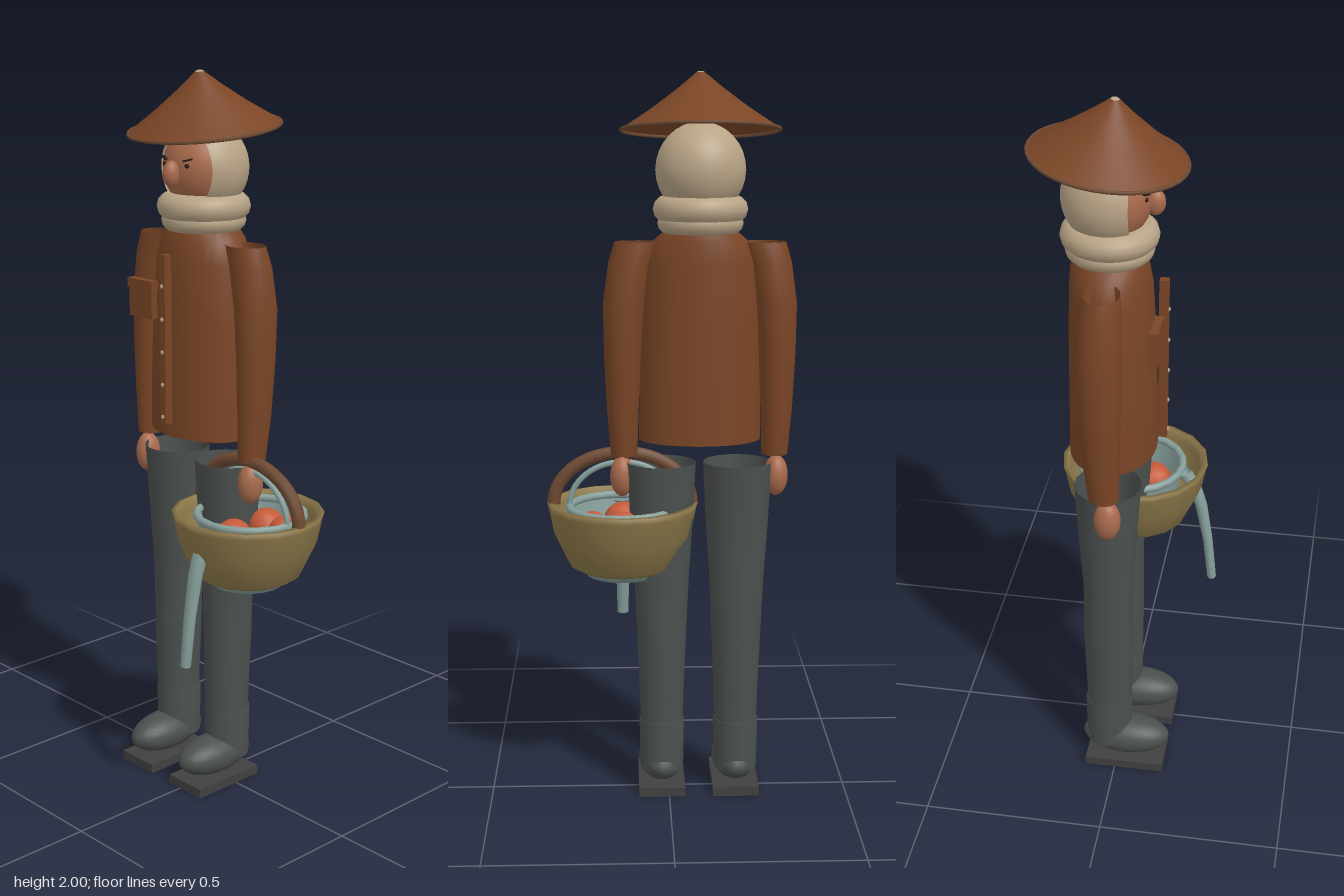
import * as THREE from 'three';

const mat = (name, color, side = THREE.FrontSide) => {
  const m = new THREE.MeshStandardMaterial({ color, side });
  m.name = name;
  return m;
};

// Lofted tube from horizontal elliptical sections [y, cx, cz, rx, rz], open at both ends
function loft(sections, seg = 18) {
  const pos = [], idx = [];
  sections.forEach(([y, cx, cz, rx, rz], i) => {
    for (let j = 0; j < seg; j++) {
      const a = (j / seg) * Math.PI * 2;
      pos.push(cx + Math.cos(a) * rx, y, cz + Math.sin(a) * rz);
      if (i === sections.length - 1) continue;
      const p = i * seg + j, q = i * seg + ((j + 1) % seg);
      idx.push(p, p + seg, q, q, p + seg, q + seg);
    }
  });
  const g = new THREE.BufferGeometry();
  g.setAttribute('position', new THREE.Float32BufferAttribute(pos, 3));
  g.setIndex(idx);
  g.computeVertexNormals();
  return g;
}

const lathe = (pts, seg) => new THREE.LatheGeometry(pts.map(([r, y]) => new THREE.Vector2(r, y)), seg);

// Half-ellipse tube in the x-y plane
function arch(rx, ry, tube) {
  const pts = [];
  for (let i = 0; i <= 16; i++) {
    const a = (i / 16) * Math.PI;
    pts.push(new THREE.Vector3(Math.cos(a) * rx, Math.sin(a) * ry, 0));
  }
  return new THREE.TubeGeometry(new THREE.CatmullRomCurve3(pts), 28, tube, 8);
}

export function createModel() {
  const D = THREE.DoubleSide;
  const brown = mat('jacket brown', 0x7a4526, D);
  const trim = mat('handle brown', 0x6e4a32, D);
  const hair = mat('hair beige', 0xb8a486);
  hair.side = D;
  const skin = mat('skin', 0xa86a4c);
  const charcoal = mat('trouser grey', 0x4b504e, D);
  const soleMat = mat('sole grey', 0x3f403f);
  const wicker = mat('wicker', 0x8c784a, D);
  const blue = mat('enamel blue', 0x869f9b, D);
  const orange = mat('fruit orange', 0xc65a3a);
  const dark = mat('eye dark', 0x2a1c18);

  const model = new THREE.Group();
  const add = (parent, name, geo, material, x = 0, y = 0, z = 0) => {
    const m = new THREE.Mesh(geo, material);
    m.name = name;
    m.position.set(x, y, z);
    parent.add(m);
    return m;
  };
  const ball = (parent, name, material, x, y, z, rx, ry, rz, w = 24, h = 16) => {
    const m = add(parent, name, new THREE.SphereGeometry(1, w, h), material, x, y, z);
    m.scale.set(rx, ry, rz);
    return m;
  };

  const man = new THREE.Group();
  man.name = 'figure';
  man.position.x = -0.084;
  model.add(man);

  // Jacket body
  add(man, 'jacket', loft([
    [1.02, 0, -0.025, 0.165, 0.117], [1.15, 0, -0.025, 0.164, 0.116], [1.35, 0, -0.027, 0.157, 0.113],
    [1.5, 0, -0.03, 0.147, 0.107], [1.56, 0, -0.033, 0.125, 0.1], [1.59, 0, -0.035, 0.09, 0.09]
  ], 28), brown);
  add(man, 'placket', new THREE.BoxGeometry(0.022, 0.465, 0.024), brown, 0, 1.292, 0.107);
  for (let i = 0; i < 5; i++) {
    ball(man, 'button', hair, 0, 1.08 + i * 0.09, 0.12, 0.006, 0.006, 0.004, 8, 6);
  }
  add(man, 'pocket', new THREE.BoxGeometry(0.092, 0.095, 0.02), brown, -0.099, 1.388, 0.1);
  add(man, 'pocketFlap', new THREE.BoxGeometry(0.1, 0.025, 0.024), brown, -0.099, 1.432, 0.102);

  // Mirrored limbs
  for (const s of [-1, 1]) {
    add(man, 'sleeve', loft([
      [0.975, s * 0.206, -0.018, 0.036, 0.04], [1.1, s * 0.209, -0.024, 0.043, 0.049],
      [1.25, s * 0.209, -0.028, 0.05, 0.056], [1.39, s * 0.205, -0.03, 0.056, 0.06],
      [1.5, s * 0.187, -0.028, 0.059, 0.055], [1.555, s * 0.17, -0.026, 0.06, 0.047]
    ]), brown);
    ball(man, 'hand', skin, s * 0.212, 0.912, -0.008, 0.033, 0.057, 0.036);
    add(man, 'trouserLeg', loft([
      [0.13, s * 0.104, -0.023, 0.057, 0.06], [0.3, s * 0.104, -0.024, 0.062, 0.066],
      [0.45, s * 0.104, -0.026, 0.068, 0.069], [0.62, s * 0.104, -0.026, 0.075, 0.068],
      [0.8, s * 0.104, -0.026, 0.087, 0.08], [0.955, s * 0.104, -0.025, 0.094, 0.09]
    ]), charcoal);
    add(man, 'bootShaft', loft([
      [0.07, s * 0.104, -0.025, 0.06, 0.064], [0.215, s * 0.104, -0.025, 0.063, 0.067],
      [0.218, s * 0.104, -0.025, 0.056, 0.06]
    ]), charcoal);
    ball(man, 'bootFoot', charcoal, s * 0.104, 0.083, 0.025, 0.064, 0.056, 0.126);
    add(man, 'bootSole', new THREE.BoxGeometry(0.13, 0.026, 0.226), soleMat, s * 0.104, 0.013, 0.027);
  }

  // Head with hair shell open toward the face
  const headY = 1.745, headZ = -0.036;
  ball(man, 'head', skin, 0, headY, headZ, 0.112, 0.118, 0.112, 32, 20);
  const shell = new THREE.SphereGeometry(0.12, 32, 20, 0, Math.PI * 2, 0, 2.14);
  shell.rotateX(-Math.PI / 2);
  add(man, 'hair', shell, hair, 0, headY, headZ).scale.y = 1.04;
  ball(man, 'nose', skin, 0, 1.735, 0.082, 0.022, 0.035, 0.026);
  for (const s of [-1, 1]) {
    ball(man, 'eye', dark, s * 0.043, 1.758, 0.066, 0.008, 0.006, 0.005, 10, 8);
    const brow = add(man, 'brow', new THREE.BoxGeometry(0.026, 0.005, 0.008), dark, s * 0.045, 1.773, 0.066);
    brow.rotation.set(0, s * 0.4, s * 0.25);
  }

  // Thick rolled collar
  for (const [y, r, t] of [[1.642, 0.09, 0.037], [1.605, 0.086, 0.029]]) {
    const g = new THREE.TorusGeometry(r, t, 12, 32);
    g.rotateX(Math.PI / 2);
    add(man, 'collarRoll', g, hair, 0, y, -0.033);
  }

  // Tilted conical hat
  const hat = new THREE.Group();
  hat.name = 'hat';
  hat.position.set(0, 1.848, -0.036);
  hat.rotation.x = 0.12;
  hat.scale.z = 0.955;
  man.add(hat);
  add(hat, 'hatCone', lathe([[0.212, 0], [0.13, 0.055], [0.06, 0.108], [0.012, 0.148]], 36), brown);
  const edge = new THREE.TorusGeometry(0.21, 0.005, 6, 36);
  edge.rotateX(Math.PI / 2);
  add(hat, 'hatEdge', edge, trim);
  ball(hat, 'hatTip', hair, 0, 0.146, 0, 0.013, 0.006, 0.013, 12, 8);

  // Basket with bail handle
  const basket = new THREE.Group();
  basket.name = 'basket';
  basket.position.set(0.127, 0, 0);
  model.add(basket);
  add(basket, 'basketBowl', lathe([
    [0, 0.65], [0.125, 0.65], [0.15, 0.665], [0.19, 0.75], [0.204, 0.82], [0.209, 0.836],
    [0.195, 0.838], [0.187, 0.815], [0.175, 0.76], [0.14, 0.69], [0, 0.69]
  ], 16), wicker);
  add(basket, 'basketHandle', arch(0.19, 0.142, 0.018), trim, 0, 0.835, -0.004);

  // Enamel pan nested in the basket
  const rim = new THREE.TorusGeometry(0.147, 0.011, 8, 20);
  rim.rotateX(Math.PI / 2);
  add(basket, 'panRim', rim, blue, 0, 0.825, -0.01);
  add(basket, 'panWall', lathe([[0.125, 0.7], [0.147, 0.825]], 20), blue, 0, 0, -0.01);
  add(basket, 'panBase', lathe([[0, 0.632], [0.1, 0.632], [0.115, 0.652]], 20), blue);
  add(basket, 'panBail', arch(0.147, 0.125, 0.008), blue, 0, 0.825, -0.004);
  add(basket, 'panSpout', loft([
    [0.445, 0, 0.23, 0.001, 0.001], [0.446, 0, 0.23, 0.016, 0.013], [0.58, 0, 0.215, 0.019, 0.014],
    [0.7, 0, 0.193, 0.022, 0.017], [0.765, 0, 0.17, 0.025, 0.02], [0.81, 0, 0.14, 0.027, 0.022]
  ], 10), blue);

  // Fruit
  for (const [x, y, z] of [[0, 0.772, 0.053], [0.083, 0.775, -0.067], [0.0, 0.775, -0.072], [-0.08, 0.77, -0.005], [0.1, 0.755, -0.08]]) {
    ball(basket, 'fruit', orange, x, y, z, 0.053, 0.051, 0.053, 10, 8);
  }

  return model;
}
